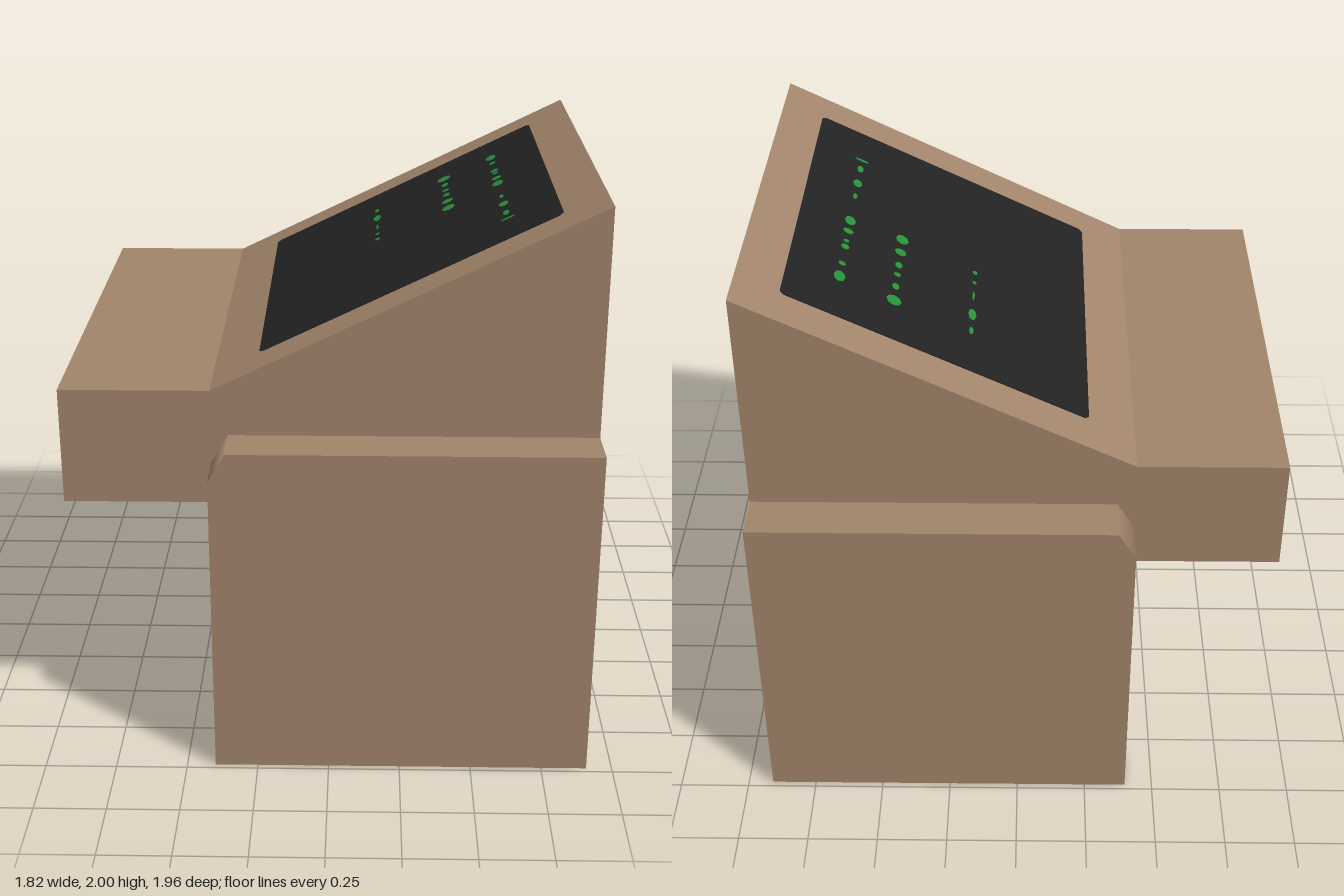
import * as THREE from 'three';

const paint = (name, color) => {
  const m = new THREE.MeshStandardMaterial({ color, side: THREE.DoubleSide });
  m.name = name;
  return m;
};

// Sheet swept along z from an x/y path; the segment numbered `soft` blends into its neighbours.
function sheet(path, z0, z1, soft = -1) {
  const pos = [], nor = [];
  const normals = path.slice(1).map(([x, y], i) =>
    new THREE.Vector2(path[i][1] - y, x - path[i][0]).normalize());
  normals.forEach((n, i) => {
    const [a, b] = [path[i], path[i + 1]];
    const na = i === soft ? normals[i - 1] : n;
    const nb = i === soft ? normals[i + 1] : n;
    for (const [p, z, m] of [[a, z0, na], [a, z1, na], [b, z1, nb], [a, z0, na], [b, z1, nb], [b, z0, nb]]) {
      pos.push(p[0], p[1], z);
      nor.push(m.x, m.y, 0);
    }
  });
  const g = new THREE.BufferGeometry();
  g.setAttribute('position', new THREE.Float32BufferAttribute(pos, 3));
  g.setAttribute('normal', new THREE.Float32BufferAttribute(nor, 3));
  return g;
}

const flat = (pts) => new THREE.ShapeGeometry(new THREE.Shape(pts.map(([x, y]) => new THREE.Vector2(x, y))));

export function createModel() {
  const model = new THREE.Group();
  model.name = 'console';
  const casing = paint('brown casing', 0xa1846b);
  const black = paint('screen black', 0x222222);
  const green = paint('display green', 0x26913a);

  const add = (parent, name, geometry, material, z = 0) => {
    const mesh = new THREE.Mesh(geometry, material);
    mesh.name = name;
    mesh.position.z = z;
    parent.add(mesh);
    return mesh;
  };

  // Hollow desk body, open at the back and below
  const W = 0.815;
  add(model, 'deskShell', sheet([[-0.4, 0.95], [-0.91, 0.95], [-0.91, 1.36], [-0.4, 1.36], [0.91, 2]], -W, W), casing);
  const wall = [[-0.4, 0], [0.91, 0], [0.91, 2], [-0.4, 1.36], [-0.91, 1.36], [-0.91, 0.95], [-0.4, 0.95]];
  const legFace = [[0.91, 0], [0.91, 1.2], [-0.34, 1.2], [-0.4, 1.1], [-0.4, 0]];
  const legRim = [[-0.4, 0], [-0.4, 1.1], [-0.34, 1.2], [0.91, 1.2]];

  // Side walls and hollow outer legs
  for (const s of [-1, 1]) {
    const side = s > 0 ? 'left' : 'right';
    // a sheet's front must face outwards on each side
    add(model, side + 'Wall', flat(wall), casing, s * W).name = side + 'Wall';
    add(model, side + 'LegFace', flat(legFace), casing, s * 0.98);
    add(model, side + 'LegRim', sheet(legRim, s > 0 ? W : -0.98, s > 0 ? 0.98 : -W, 1), casing);
  }

  // Dark slot on the inside of the left wall
  add(model, 'innerSlot', flat([[0.8, 1.18], [0.76, 1.197], [-0.33, 1.197], [-0.385, 1.11], [0.77, 1.11]]), black, W - 0.004);

  // Sloped display, showing through the sheet on both sides
  const display = new THREE.Group();
  display.name = 'display';
  display.position.set(-0.4, 1.36, 0);
  display.rotation.z = Math.atan2(0.64, 1.31);
  model.add(display);
  const k = 1 / Math.cos(display.rotation.z);
  const u = (x) => (x + 0.4) * k;

  const [a, b, h, r] = [u(-0.24), u(0.77), 0.655, 0.015];
  const outline = new THREE.Shape([
    [a + r, -h], [b - r, -h], [b, -h + r], [b, h - r], [b - r, h], [a + r, h], [a, h - r], [a, -h + r],
  ].map(([x, y]) => new THREE.Vector2(x, y)));
  const screen = new THREE.ExtrudeGeometry(outline, { depth: 0.006, bevelEnabled: false });
  screen.rotateX(Math.PI / 2).translate(0, 0.003, 0);
  add(display, 'screen', screen, black);

  // Rows of glowing marks: row x, then [z, width along z, height along x]
  const rows = [
    [0.605, [[-0.415, 0.065, 0.038], [-0.33, 0.025, 0.025], [-0.215, 0.035, 0.028], [-0.175, 0.02, 0.02],
      [-0.105, 0.035, 0.035], [-0.03, 0.06, 0.038], [0.155, 0.04, 0.015], [0.255, 0.055, 0.032],
      [0.37, 0.05, 0.022], [0.44, 0.015, 0.05]]],
    [0.425, [[-0.425, 0.06, 0.05], [-0.335, 0.04, 0.025], [-0.255, 0.025, 0.025], [-0.19, 0.04, 0.025],
      [-0.1, 0.045, 0.04], [-0.01, 0.06, 0.045]]],
    [0.165, [[-0.415, 0.045, 0.015], [-0.31, 0.07, 0.028], [-0.185, 0.06, 0.008], [-0.095, 0.02, 0.015],
      [-0.025, 0.025, 0.018]]],
  ];
  for (const [x, marks] of rows) {
    for (const [z, w, d] of marks) {
      const mark = add(display, 'displayMark', new THREE.CylinderGeometry(0.5, 0.5, 0.0096, 8), green, z);
      mark.position.x = u(x);
      mark.scale.set(d * k, 1, w);
    }
  }
  return model;
}
